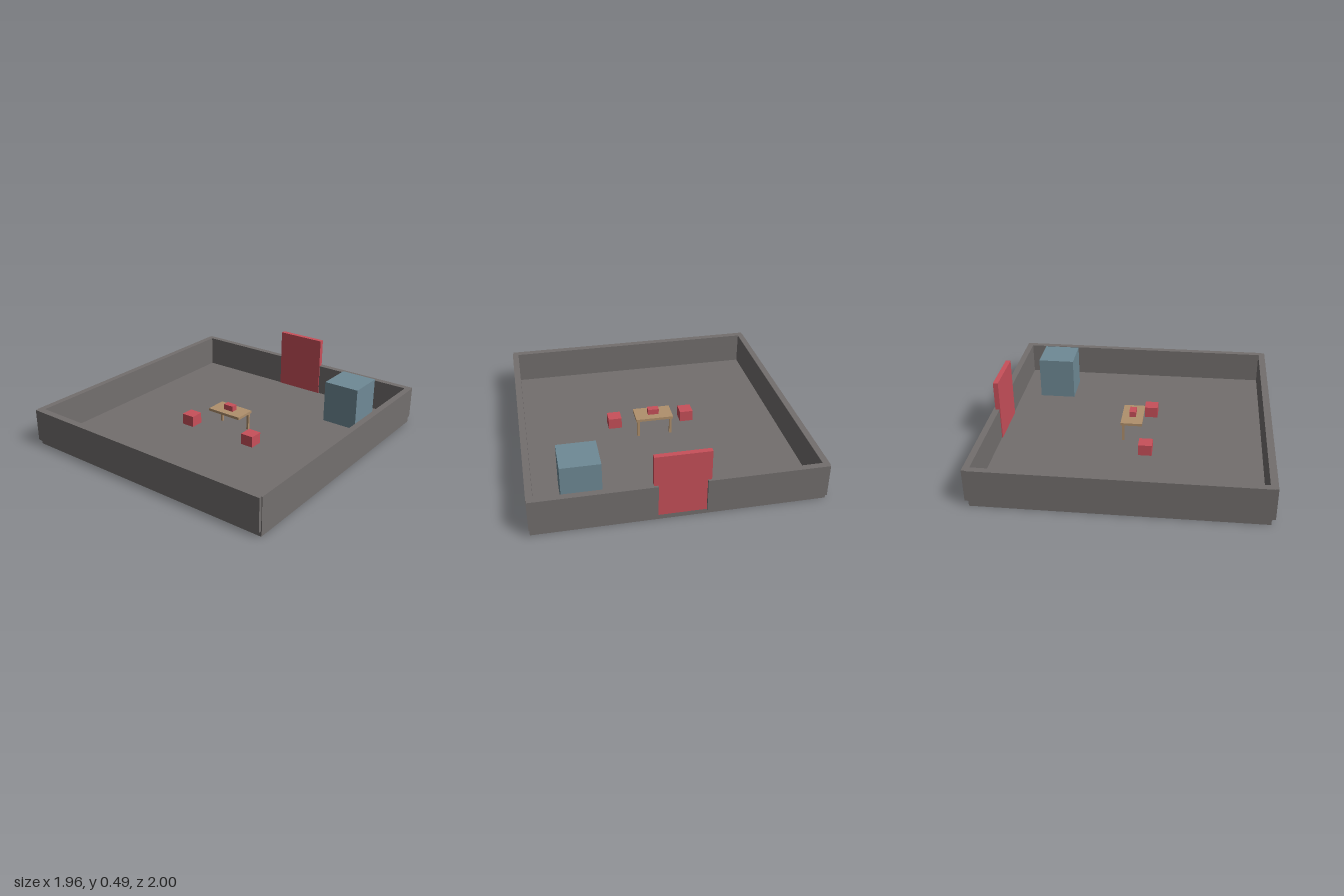
import * as THREE from 'three';

const mat = (name, color) => {
  const m = new THREE.MeshStandardMaterial({ color });
  m.name = name;
  return m;
};

export function createModel() {
  const room = new THREE.Group();
  room.name = 'room';
  const stone = mat('warm grey', 0x736f6e);
  const red = mat('red', 0xc8505a);
  const blue = mat('slate blue', 0x6f8a96);
  const wood = mat('wood', 0xb0906c);

  // Adds a box given by its extents on each axis
  const box = (name, material, [x0, x1], [y0, y1], [z0, z1], parent = room) => {
    const mesh = new THREE.Mesh(new THREE.BoxGeometry(x1 - x0, y1 - y0, z1 - z0), material);
    mesh.position.set((x0 + x1) / 2, (y0 + y1) / 2, (z0 + z1) / 2);
    mesh.name = name;
    parent.add(mesh);
    return mesh;
  };

  const ground = 0.04;
  const wallY = [ground, 0.275];

  // Floor slab and walls; the back wall leaves a doorway
  box('floor', stone, [-0.975, 0.975], [0, ground], [-0.975, 0.975]);
  box('frontWall', stone, [-0.975, 0.975], wallY, [0.95, 1]);
  box('rightWall', stone, [-0.98, -0.935], wallY, [-0.978, 0.978]);
  box('leftWall', stone, [0.935, 0.98], wallY, [-0.978, 0.978]);
  box('backWallRight', stone, [-0.975, -0.16], wallY, [-1, -0.955]);
  box('backWallLeft', stone, [0.16, 0.975], wallY, [-1, -0.955]);

  // Tall door, wider than its opening
  box('door', red, [-0.186, 0.186], [ground, 0.49], [-0.984, -0.948]);

  // Cabinet in the back corner
  box('cabinet', blue, [0.488, 0.758], [ground, 0.355], [-0.8, -0.53]);

  // Table with its two legs along the back edge
  const table = new THREE.Group();
  table.name = 'table';
  room.add(table);
  box('tableTop', wood, [-0.137, 0.137], [0.168, 0.187], [-0.078, 0.078], table);
  for (const x of [-0.12, 0.12]) {
    box('tableLeg', wood, [x - 0.009, x + 0.009], [ground, 0.168], [-0.069, -0.051], table);
  }
  box('tableBox', red, [-0.04, 0.04], [0.187, 0.228], [-0.024, 0.024], table);

  // Pair of cube stools
  for (const x of [-0.273, 0.273]) {
    box('stool', red, [x - 0.049, x + 0.049], [ground, 0.122], [0.068, 0.166]);
  }

  return room;
}
